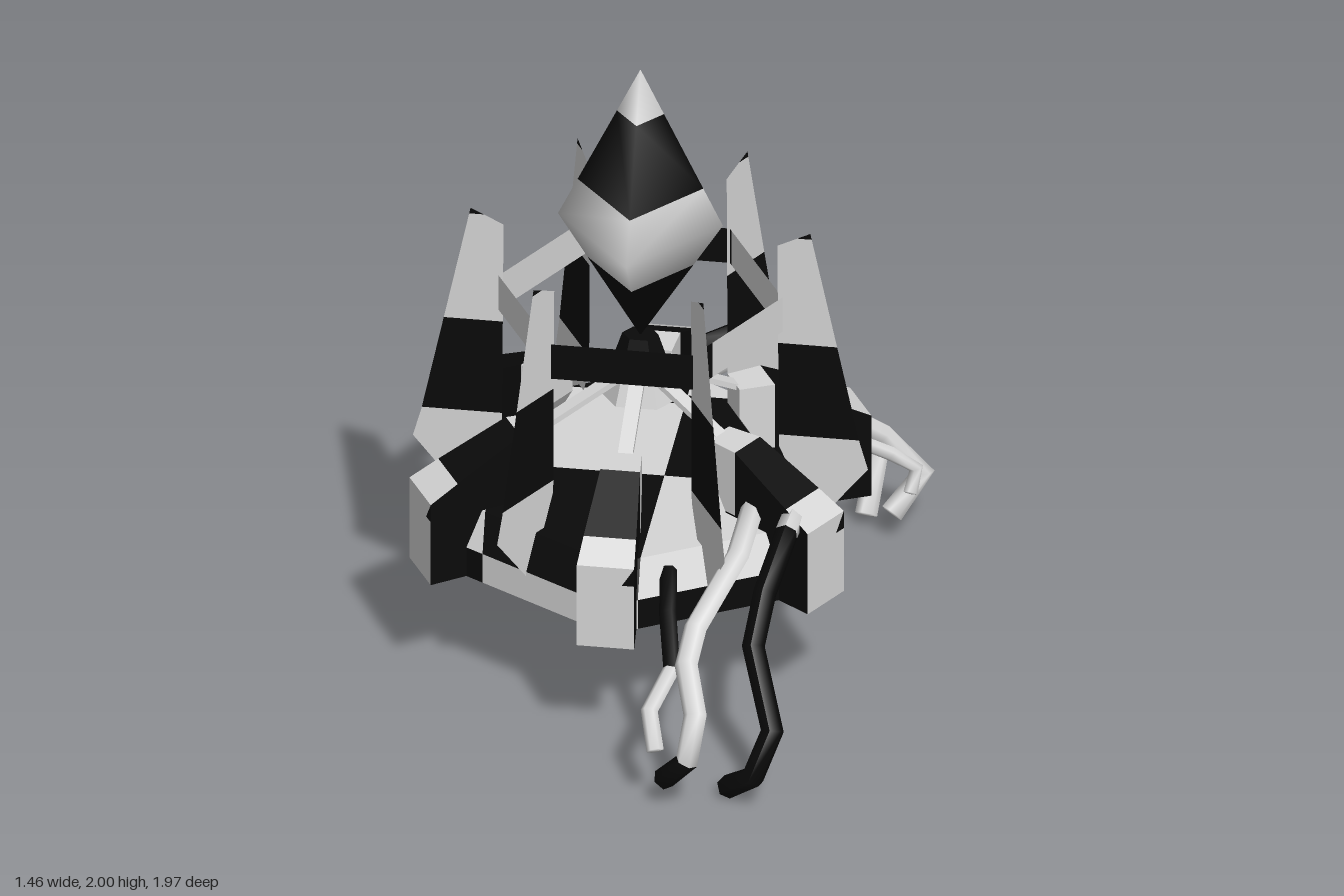
import * as THREE from 'three';
import { mergeVertices } from 'three/addons/utils/BufferGeometryUtils.js';

const white = new THREE.MeshStandardMaterial({ name: 'pale grey', color: 0xd6d6d6, side: THREE.DoubleSide });
const black = new THREE.MeshStandardMaterial({ name: 'black', color: 0x0a0a0a, side: THREE.DoubleSide });
const CX = -0.04, CZ = -0.05; // axis of the machine

// Cuts a polygon in two at a plane across one axis.
function cutPolygon(poly, axis, at) {
  const low = [], high = [];
  poly.forEach((p, i) => {
    const q = poly[(i + 1) % poly.length];
    const a = p[axis] - at, b = q[axis] - at;
    if (a <= 0) low.push(p);
    if (a >= 0) high.push(p);
    if (a * b < 0) {
      const m = p.clone().lerp(q, a / (a - b));
      low.push(m);
      high.push(m);
    }
  });
  return [low, high].filter((s) => s.length > 2);
}

// Colour rule: alternate black and pale at every cut.
const checker = (cuts, phase = 0) => (mid) => {
  let parity = phase;
  for (const axis in cuts) parity += cuts[axis].filter((at) => mid[axis] > at).length;
  return parity % 2 === 1;
};

// Splits a geometry at the cuts into a black and a pale mesh.
function banded(name, geometry, cuts, isPale = checker(cuts), smooth = false) {
  const pos = (geometry.index ? geometry.toNonIndexed() : geometry).attributes.position;
  const sides = [[], []];
  for (let i = 0; i < pos.count; i += 3) {
    let pieces = [[0, 1, 2].map((k) => new THREE.Vector3().fromBufferAttribute(pos, i + k))];
    for (const axis in cuts)
      for (const at of cuts[axis]) pieces = pieces.flatMap((p) => cutPolygon(p, axis, at));
    for (const piece of pieces) {
      const mid = piece.reduce((s, p) => s.add(p), new THREE.Vector3()).divideScalar(piece.length);
      const side = sides[isPale(mid) ? 1 : 0];
      for (let k = 1; k < piece.length - 1; k++) side.push(piece[0], piece[k], piece[k + 1]);
    }
  }
  const group = new THREE.Group();
  group.name = name;
  [black, white].forEach((material, s) => {
    if (!sides[s].length) return;
    let g = new THREE.BufferGeometry().setFromPoints(sides[s]);
    if (smooth) g = mergeVertices(g);
    g.computeVertexNormals();
    const mesh = new THREE.Mesh(g, material);
    mesh.name = name + (s ? 'Pale' : 'Black');
    group.add(mesh);
  });
  return group;
}

const lathe = (points, sides) =>
  new THREE.LatheGeometry(points.map((p) => new THREE.Vector2(...p)), sides);
const outline = (points) => new THREE.Shape(points.map((p) => new THREE.Vector2(...p)));

// Jointed tentacle: one ring per joint, one colour letter per segment, closed ends.
function tentacle(name, radius, colours, joints) {
  const p = joints.map((j) => new THREE.Vector3(...j));
  const n = p.length;
  const beyond = (end, prev) => end.clone().add(end.clone().sub(prev).setLength(0.003));
  const all = [beyond(p[0], p[1]), ...p, beyond(p[n - 1], p[n - 2])];
  const curve = new THREE.CatmullRomCurve3(all);
  curve.getPointAt = curve.getPoint;
  curve.getTangentAt = curve.getTangent;
  const radial = 6, segments = all.length - 1;
  const g = new THREE.TubeGeometry(curve, segments, radius, radial);
  for (let i = 0; i <= radial; i++) {
    g.attributes.position.setXYZ(i, ...all[0].toArray());
    g.attributes.position.setXYZ(segments * (radial + 1) + i, ...all[segments].toArray());
  }
  g.computeVertexNormals();
  g.clearGroups();
  for (let s = 0; s < segments; s++) {
    const c = colours[Math.min(Math.max(s - 1, 0), n - 2)];
    g.addGroup(s * radial * 6, radial * 6, c === 'b' ? 0 : 1);
  }
  const mesh = new THREE.Mesh(g, [black, white]);
  mesh.name = name;
  return mesh;
}

export function createModel() {
  const model = new THREE.Group();
  model.name = 'crystalMachine';

  // Checkered hexagonal base, open underneath
  const base = lathe([[0.635, 0.4], [0.635, 0.5], [0.58, 0.615], [0, 0.615]], 6);
  base.translate(CX, 0, CZ);
  model.add(banded('base', base, { x: [-0.46, 0.04], y: [0.5], z: [-0.47, 0] }));

  // Floating crystal with four faces
  const crystal = lathe([[0, 1.07], [1, 1.475], [0, 2]], 4);
  crystal.scale(0.25, 1, 0.285).translate(CX, 0, CZ);
  const crystalCuts = { y: [1.33, 1.6, 1.85] };
  model.add(banded('crystal', crystal, crystalCuts, checker(crystalCuts), true));

  // Hub under the crystal
  const hub = new THREE.CylinderGeometry(0.055, 0.125, 0.21, 6);
  hub.rotateY(Math.PI / 6).scale(1, 1, 0.8).translate(CX, 0.97, CZ);
  model.add(banded('hub', hub, { y: [1.0] }, checker({ y: [1.0] }, 1)));

  // Thin hexagonal ring joining the fins
  const ring = new THREE.CylinderGeometry(0.43, 0.43, 0.12, 6, 1, true);
  ring.rotateY(Math.PI / 6).translate(CX, 1.18, CZ);
  model.add(banded('ring', ring, { z: [CZ - 0.36, CZ + 0.29] }));

  // Arm profile: outer block, rising shoulder and inner bracket
  const armShape = outline([[0.71, 0.4], [0.71, 0.68], [0.62, 0.73], [0.41, 0.84],
    [0.30, 0.84], [0.30, 0.74], [0.37, 0.62], [0.37, 0.4]]);
  // Pale bracket, pale outer end and outer top; black flanks and shoulder
  const armPale = (m) => (m.x < 0.41 && m.y > 0.62) || (m.x > 0.62 && m.y > 0.41 && Math.abs(m.z) < 0.05);
  const finShape = outline([[0.515, 1.47], [0.665, 0.75], [0.69, 0.66], [0.53, 0.46],
    [0.42, 0.72], [0.415, 1.42]]);
  const finCuts = { y: [0.76, 1.08, 1.45] };

  for (let i = 0; i < 6; i++) {
    // Blocks at the corners of the base, narrowing inward
    const arm = new THREE.ExtrudeGeometry(armShape, { depth: 2, bevelEnabled: false });
    arm.translate(0, 0, -1);
    const pos = arm.attributes.position;
    for (let k = 0; k < pos.count; k++) {
      const t = THREE.MathUtils.clamp((pos.getX(k) - 0.3) / 0.4, 0, 1);
      pos.setZ(k, pos.getZ(k) * (0.05 + 0.037 * t));
    }
    const armGroup = banded('cornerArm', arm, { x: [0.41, 0.62], y: [0.62] }, armPale);

    // Flat spoke from the hub down to the bracket
    const from = new THREE.Vector2(0.04, 0.96), to = new THREE.Vector2(0.37, 0.80);
    const spoke = new THREE.Mesh(new THREE.BoxGeometry(from.distanceTo(to), 0.018, 0.045), white);
    spoke.name = 'spoke';
    spoke.position.set((from.x + to.x) / 2, (from.y + to.y) / 2, 0);
    spoke.rotation.z = Math.atan2(to.y - from.y, to.x - from.x);
    armGroup.add(spoke);
    armGroup.position.set(CX, 0, CZ);
    armGroup.rotation.y = Math.PI / 6 + (i * Math.PI) / 3;
    model.add(armGroup);

    // Tall paper-thin fins between the arms
    const fin = banded('fin', new THREE.ShapeGeometry(finShape), finCuts, checker(finCuts, 1));
    fin.position.set(CX, 0, CZ);
    fin.rotation.y = (i * Math.PI) / 3;
    model.add(fin);
  }

  // Three tentacles at the front and three at the back
  model.add(
    tentacle('frontTentacleInner', 0.026, 'bbww',
      [[0.12, 0.56, 0.45], [0.14, 0.50, 0.60], [0.17, 0.38, 0.72], [0.12, 0.30, 0.84], [0.15, 0.21, 0.92]]),
    tentacle('frontTentacleMiddle', 0.035, 'wwwwwb',
      [[0.34, 0.66, 0.22], [0.33, 0.63, 0.45], [0.23, 0.48, 0.64], [0.22, 0.42, 0.76],
        [0.265, 0.32, 0.88], [0.25, 0.20, 0.95], [0.17, 0.09, 0.88]]),
    tentacle('frontTentacleOuter', 0.036, 'wbbbbb',
      [[0.48, 0.69, 0.25], [0.47, 0.69, 0.40], [0.43, 0.58, 0.57], [0.41, 0.45, 0.67],
        [0.49, 0.25, 0.82], [0.44, 0.12, 0.88], [0.35, 0.03, 0.80]]),
    tentacle('backTentacleInner', 0.034, 'bbwww',
      [[0.04, 0.67, -0.66], [0.14, 0.70, -0.71], [0.31, 0.55, -0.78], [0.47, 0.31, -0.95],
        [0.55, 0.20, -0.94], [0.53, 0.04, -0.81]]),
    tentacle('backTentacleMiddle', 0.036, 'wbwww',
      [[0.05, 0.64, -0.55], [0.16, 0.67, -0.62], [0.38, 0.54, -0.63], [0.58, 0.35, -0.77],
        [0.70, 0.20, -0.82], [0.62, 0.10, -0.73]]),
    tentacle('backTentacleOuter', 0.022, 'wwwww',
      [[0.30, 0.60, -0.45], [0.36, 0.57, -0.49], [0.47, 0.46, -0.58], [0.63, 0.37, -0.63],
        [0.70, 0.29, -0.69], [0.69, 0.23, -0.64]]),
  );
  return model;
}
